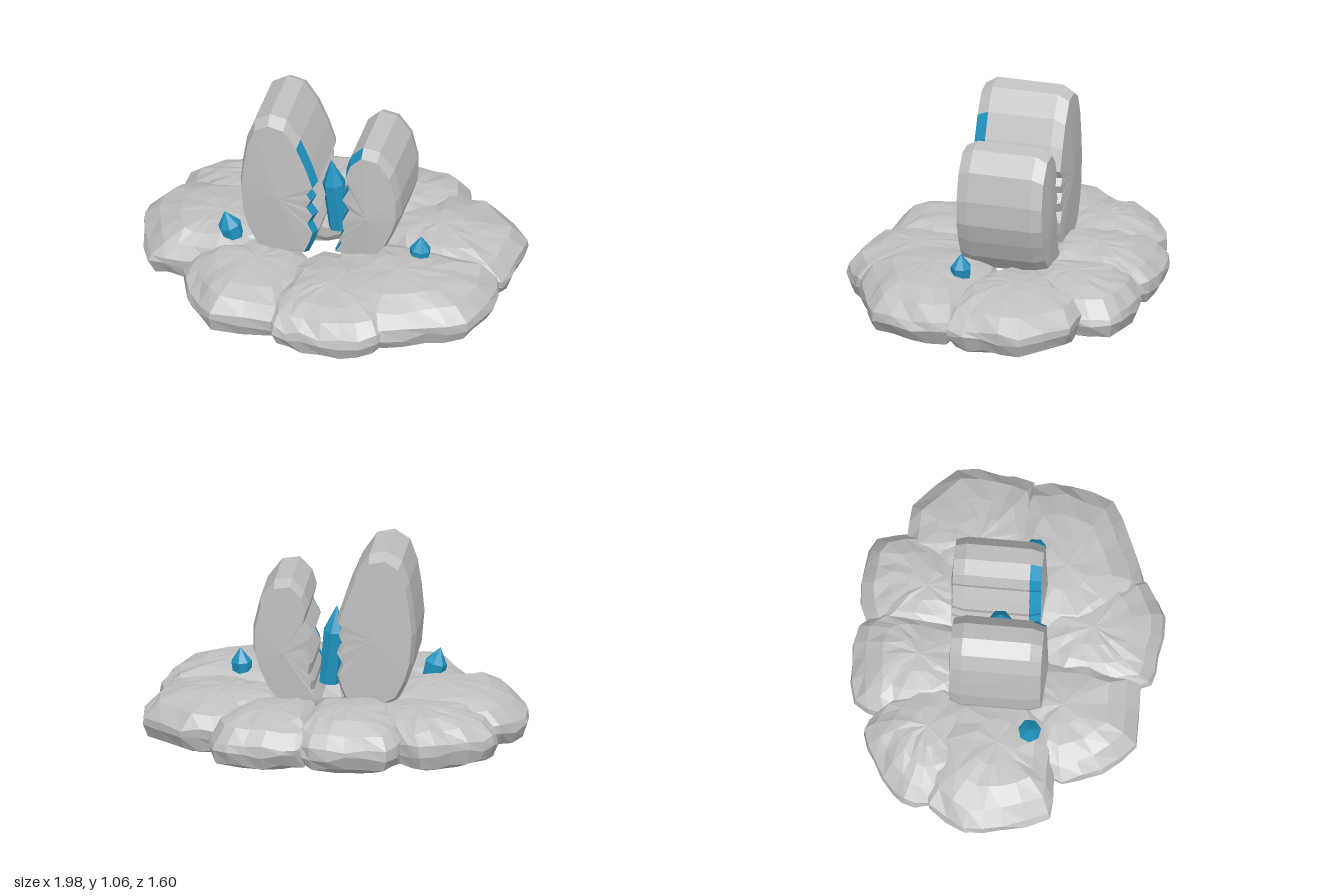
import * as THREE from 'three';

const stone = new THREE.MeshStandardMaterial({ color: 0xc0c0c0, flatShading: true });
stone.name = 'grey stone';
const crystalBlue = new THREE.MeshStandardMaterial({ color: 0x1f93bf, flatShading: true });
crystalBlue.name = 'crystal blue';

function seededRandom(seed) {
  let s = seed * 7919 + 17;
  return () => (s = (s * 16807) % 2147483647) / 2147483647 - 0.5;
}

// Cross-sections of a boulder: [scale of the footprint, share of the height]
const layers = [[0, 0.02], [0.6, 0.04], [0.9, 0.17], [0.99, 0.4], [0.99, 0.56],
  [0.87, 0.79], [0.62, 0.92], [0.32, 0.98], [0, 1]];

// Boulder lofted from a footprint of [x, z] corners (turning from +x to +z)
function rock(name, top, seed, footprint) {
  const random = seededRandom(seed);
  // halve the sides so that the facets stay small
  const outline = footprint.flatMap(([x, z], i) => {
    const [nx, nz] = footprint[(i + 1) % footprint.length];
    return [[x, z], [(x + nx) / 2 * 1.01, (z + nz) / 2 * 1.01]];
  });
  const n = outline.length;
  const cx = footprint.reduce((sum, q) => sum + q[0], 0) / footprint.length;
  const cz = footprint.reduce((sum, q) => sum + q[1], 0) / footprint.length;
  const rings = layers.map(([scale, share]) => outline.map(([x, z]) => {
    const k = scale * (1 + 0.05 * random());
    // the top leans slightly to the ring's middle
    const lean = 1 - 0.12 * Math.max(0, share - 0.5) * 2;
    return [cx * lean + (x - cx) * k, share * top + 0.03 * random() * scale * (share > 0.1),
      cz * lean + (z - cz) * k];
  }));
  const data = [];
  for (let r = 0; r < layers.length - 1; r++) {
    for (let i = 0; i < n; i++) {
      const j = (i + 1) % n;
      const a = rings[r], b = rings[r + 1];
      if (layers[r + 1][0] > 0) data.push(...a[i], ...b[i], ...b[j]);
      if (layers[r][0] > 0) data.push(...a[i], ...b[j], ...a[j]);
    }
  }
  return solid(name, data, stone);
}

function solid(name, data, material) {
  const geo = new THREE.BufferGeometry();
  geo.setAttribute('position', new THREE.Float32BufferAttribute(data, 3));
  geo.computeVertexNormals();
  const mesh = new THREE.Mesh(geo, material);
  mesh.name = name;
  return mesh;
}

// Bevelled slab from an outline (counter-clockwise seen from the front);
// the front bevel is blue along outline edges blueFrom..blueTo
function slab(name, outline, zBack, zFront, center, blueFrom, blueTo) {
  const n = outline.length, bevel = 0.06;
  const ring = (k, z) => outline.map(([x, y]) => [
    center[0] + (x - center[0]) * k, center[1] + (y - center[1]) * k, z]);
  const rings = [ring(0.92, zBack), ring(1, zBack + bevel), ring(1, zFront - bevel), ring(0.92, zFront)];
  const grey = [], blue = [];
  for (let i = 0; i < n; i++) {
    const j = (i + 1) % n;
    for (let r = 0; r < 3; r++) {
      const a = rings[r][i], b = rings[r][j], c = rings[r + 1][j], d = rings[r + 1][i];
      const target = r === 2 && i >= blueFrom && i < blueTo ? blue : grey;
      target.push(...a, ...b, ...c, ...a, ...c, ...d);
    }
    // slightly domed end faces
    grey.push(...rings[3][i], ...rings[3][j], center[0], center[1], zFront + 0.025);
    grey.push(...rings[0][j], ...rings[0][i], center[0], center[1], zBack - 0.015);
  }
  const group = new THREE.Group();
  group.name = name;
  group.add(solid(name + 'Stone', grey, stone), solid(name + 'CrystalEdge', blue, crystalBlue));
  return group;
}

// Faceted crystal with a pointed tip
function crystal(name, x, y, z, radius, shoulder, height, tilt) {
  const profile = [[0, 0], [radius * 0.9, 0], [radius, shoulder], [0, height]]
    .map(([r, h]) => new THREE.Vector2(r, h));
  const mesh = new THREE.Mesh(new THREE.LatheGeometry(profile, 7), crystalBlue);
  mesh.name = name;
  mesh.position.set(x, y, z);
  mesh.rotation.set(0, 0.3, tilt);
  return mesh;
}

export function createModel() {
  const model = new THREE.Group();
  model.name = 'splitCrystalStone';

  // Ring of overlapping boulders
  const base = new THREE.Group();
  base.name = 'rockRing';
  base.add(
    rock('rockRight', 0.31, 1, [[-0.2, 0], [-0.28, 0.2], [-0.42, 0.29], [-0.7, 0.31], [-0.88, 0.3],
      [-0.97, 0.06], [-1, -0.14], [-0.88, -0.32], [-0.6, -0.4], [-0.3, -0.3]]),
    rock('rockBackRight', 0.29, 2, [[-0.2, -0.3], [-0.35, -0.12], [-0.65, -0.12], [-0.84, -0.25],
      [-0.88, -0.4], [-0.82, -0.52], [-0.66, -0.63], [-0.5, -0.7], [-0.38, -0.64], [-0.22, -0.5]]),
    rock('rockBack', 0.3, 3, [[0.16, -0.5], [0.12, -0.25], [-0.05, -0.16], [-0.28, -0.16], [-0.4, -0.35],
      [-0.41, -0.6], [-0.34, -0.77], [-0.12, -0.8], [0.07, -0.78], [0.15, -0.7]]),
    rock('rockBackLeft', 0.29, 4, [[0.62, -0.5], [0.52, -0.25], [0.32, -0.14], [0.12, -0.18],
      [0.06, -0.4], [0.08, -0.72], [0.21, -0.78], [0.42, -0.78], [0.58, -0.73]]),
    rock('rockLeft', 0.3, 5, [[0.98, -0.13], [0.95, 0.05], [0.7, 0.1], [0.45, 0.05], [0.25, -0.08],
      [0.28, -0.28], [0.44, -0.45], [0.56, -0.57], [0.77, -0.56], [0.99, -0.35]]),
    rock('rockFrontLeft', 0.31, 6, [[0.95, 0.25], [0.88, 0.48], [0.68, 0.58], [0.45, 0.68], [0.25, 0.6],
      [0.08, 0.42], [0.1, 0.12], [0.25, -0.02], [0.6, -0.05], [0.93, 0.05]]),
    rock('rockFront', 0.28, 7, [[0.5, 0.58], [0.45, 0.7], [0.28, 0.8], [0.05, 0.79], [-0.1, 0.76],
      [-0.15, 0.6], [-0.13, 0.3], [0, 0.08], [0.25, 0.1], [0.42, 0.3]]),
    rock('rockFrontRight', 0.28, 8, [[-0.04, 0.45], [-0.1, 0.71], [-0.45, 0.72], [-0.6, 0.55],
      [-0.69, 0.35], [-0.6, 0.15], [-0.4, 0.05], [-0.15, 0.07], [-0.04, 0.2]]),
  );
  model.add(base);

  // Two halves of the split stone, with jagged inner sides
  model.add(slab('tallHalf', [
    [-0.06, 0.24], [-0.03, 0.31], [-0.01, 0.38], [-0.04, 0.44], [-0.01, 0.50], [-0.045, 0.55],
    [-0.02, 0.60], [-0.045, 0.64], [-0.01, 0.69], [-0.05, 0.81], [-0.105, 0.94],
    [-0.18, 1.05], [-0.27, 1.07], [-0.35, 1.02], [-0.39, 0.91], [-0.41, 0.78],
    [-0.425, 0.63], [-0.41, 0.46], [-0.38, 0.36], [-0.33, 0.26], [-0.25, 0.22],
  ], -0.265, 0.21, [-0.21, 0.60], 0, 10));
  model.add(slab('shortHalf', [
    [0.28, 0.24], [0.345, 0.32], [0.39, 0.42], [0.42, 0.52], [0.42, 0.65], [0.385, 0.80],
    [0.31, 0.90], [0.22, 0.915], [0.155, 0.85], [0.13, 0.77], [0.15, 0.69], [0.11, 0.61],
    [0.15, 0.55], [0.11, 0.46], [0.12, 0.40], [0.10, 0.36], [0.105, 0.31], [0.07, 0.25],
  ], -0.295, 0.165, [0.26, 0.52], 7, 17));

  // Crystals
  model.add(crystal('middleCrystal', 0.05, 0.285, -0.045, 0.06, 0.28, 0.42, 0.1));
  model.add(crystal('rightCrystal', -0.46, 0.255, 0.155, 0.06, 0.09, 0.175, 0.28));
  model.add(crystal('leftCrystal', 0.52, 0.255, 0.105, 0.055, 0.075, 0.15, -0.06));
  return model;
}
